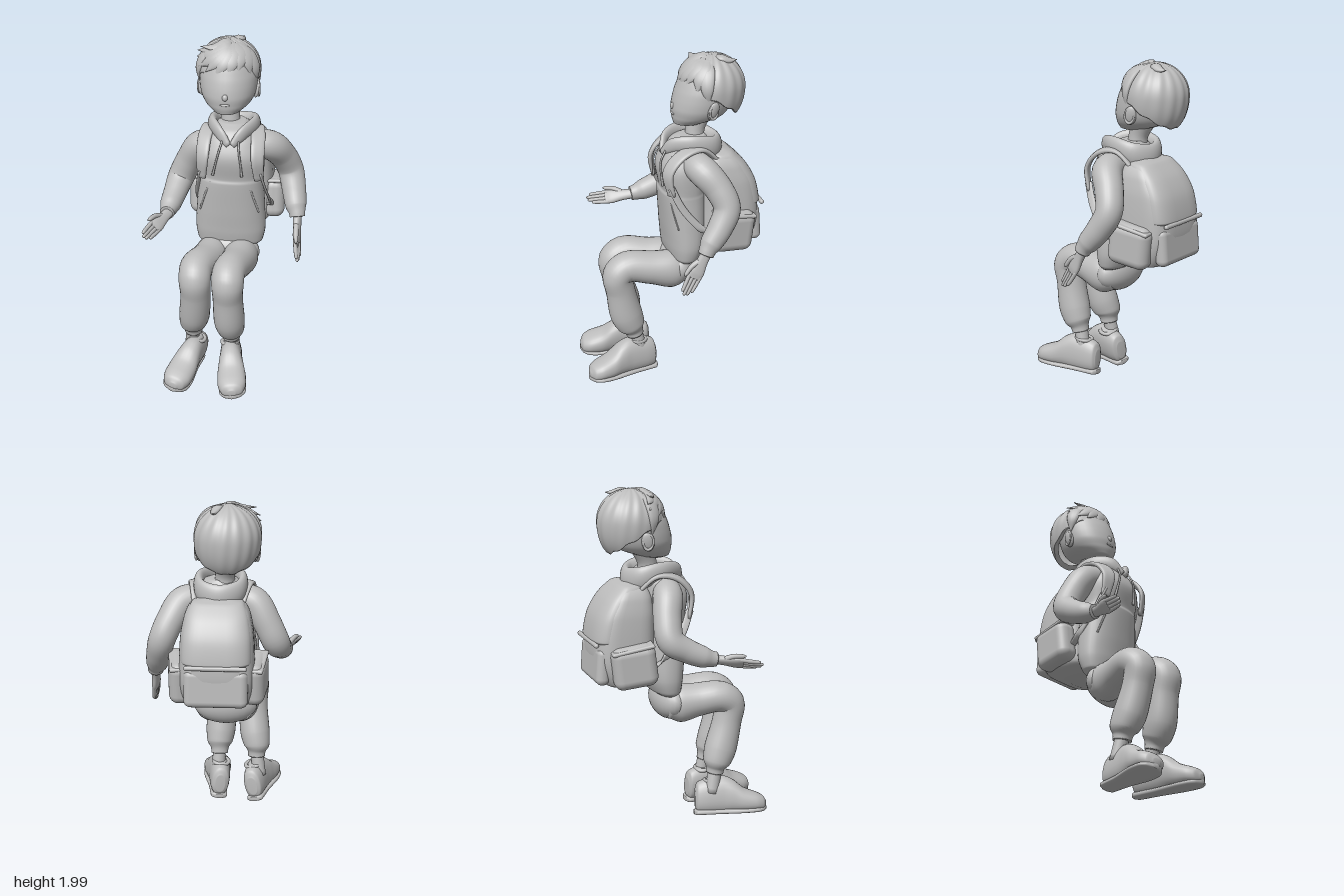
import * as THREE from 'three';
import { RoundedBoxGeometry } from 'three/addons/geometries/RoundedBoxGeometry.js';

const grey = new THREE.MeshStandardMaterial({ color: 0xbcbcbc });
grey.name = 'clay grey';
const shellGrey = grey.clone();
shellGrey.side = THREE.DoubleSide;
const V = (x, y, z) => new THREE.Vector3(x, y, z);
const X = V(1, 0, 0), Y = V(0, 1, 0), Z = V(0, 0, 1);

// Smooth skin through rings [x, y, z, width radius, depth radius]; power > 2 squares the ring,
// axis keeps all rings parallel instead of turning with the path
function loft(rings, { ref = X, axis, power = 2, sides = 28, steps = 6 } = {}) {
  const path = new THREE.CatmullRomCurve3(rings.map(r => V(r[0], r[1], r[2])));
  const size = new THREE.CatmullRomCurve3(rings.map(r => V(r[3], r[4] ?? r[3], 0)), false, 'catmullrom', 0.4);
  const n = (rings.length - 1) * steps, pos = [], idx = [];
  const bend = v => Math.sign(v) * Math.abs(v) ** (2 / power);
  for (let i = 0; i <= n; i++) {
    const c = path.getPoint(i / n), t = axis ?? path.getTangent(i / n), s = size.getPoint(i / n);
    const side = ref.clone().addScaledVector(t, -ref.dot(t)).normalize();
    const up = t.clone().cross(side);
    for (let j = 0; j < sides; j++) {
      const a = j / sides * Math.PI * 2;
      const p = c.clone().addScaledVector(side, Math.max(s.x, 0.001) * bend(Math.cos(a)))
        .addScaledVector(up, Math.max(s.y, 0.001) * bend(Math.sin(a)));
      pos.push(p.x, p.y, p.z);
      const k = (j + 1) % sides, b = i * sides;
      if (i < n) idx.push(b + j, b + k, b + sides + j, b + k, b + sides + k, b + sides + j);
    }
  }
  const first = rings[0], last = rings.at(-1), e = pos.length / 3;
  pos.push(first[0], first[1], first[2], last[0], last[1], last[2]);
  for (let j = 0; j < sides; j++) {
    const k = (j + 1) % sides;
    idx.push(e, k, j, e + 1, n * sides + j, n * sides + k);
  }
  const g = new THREE.BufferGeometry();
  g.setAttribute('position', new THREE.Float32BufferAttribute(pos, 3));
  g.setIndex(idx);
  g.computeVertexNormals();
  return g;
}

function add(parent, name, geo, p = [0, 0, 0], r = [0, 0, 0], mat = grey) {
  const m = new THREE.Mesh(geo, mat);
  m.name = name;
  m.position.set(...p);
  m.rotation.set(...r);
  parent.add(m);
  return m;
}
const ball = (parent, name, p, s, r) => add(parent, name, new THREE.SphereGeometry(1, 28, 20), p, r).scale.set(...s);

// Point on the hair dome: azimuth a from the front, polar angle p from the top; fuller below the middle
function hairPoint(a, p, k = 1) {
  const low = p > Math.PI / 2, out = k * Math.sin(p) ** (low ? 0.7 : 1);
  return V(-0.025 + 0.188 * out * Math.sin(a), 1.795 + (low ? 0.22 : 0.188) * k * Math.cos(p),
    -0.27 + 0.194 * out * Math.cos(a));
}

function hair(g) {
  // Dome whose lower edge falls from the fringe to the nape, with combed ripples
  const dome = new THREE.PlaneGeometry(1, 1, 112, 30), at = dome.attributes.position;
  for (let i = 0; i < at.count; i++) {
    const a = (at.getX(i) + 0.5) * Math.PI * 2, v = 0.5 - at.getY(i);
    const end = 1.9 - 0.54 * Math.cos(a) + 0.05 * Math.cos(2 * a) + 0.03 * Math.cos(11 * a);
    const ripple = 1 + 0.014 * Math.sin(16 * a + 4 * v) * Math.sin(Math.PI * v);
    const q = hairPoint(a, end * Math.min(v * 1.05, 1), v > 0.98 ? 0.85 : ripple);
    at.setXYZ(i, q.x, q.y, q.z);
  }
  dome.computeVertexNormals();
  add(g, 'hairDome', dome, undefined, undefined, shellGrey);

  // Swept locks: [root azimuth, tip azimuth, root polar, tip polar, width, tip lift]
  const locks = [
    [0.5, -1.3, 0.25, 1.15, 0.05, 1.1], [0.4, -1.0, 0.3, 1.35, 0.05, 1.06], [0.3, -0.65, 0.3, 1.42, 0.05, 1.05],
    [0.35, -0.3, 0.3, 1.52, 0.05, 1.04], [0.5, 0.05, 0.35, 1.46, 0.05, 1.03], [0.7, 0.4, 0.4, 1.34, 0.05, 1.03],
    [0.9, 0.8, 0.4, 1.5, 0.05, 1.02], [1.0, 1.15, 0.4, 1.85, 0.045, 0.99], [-1.0, -1.2, 0.5, 1.85, 0.045, 0.99],
    [0.2, -1.1, 0.1, 0.85, 0.04, 1.24], [0.1, -1.35, 0.2, 1.0, 0.04, 1.16], [2.0, 2.6, 0.2, 0.72, 0.03, 1.14]];
  for (const [a0, a1, p0, p1, w, lift] of locks) {
    const pts = [0, 0.33, 0.67, 1].map(t => hairPoint(a0 + (a1 - a0) * t, p0 + (p1 - p0) * t, t < 1 ? 0.98 + 0.03 * t : lift));
    const ref = pts[3].clone().sub(pts[0]).cross(pts[2].clone().sub(V(-0.025, 1.79, -0.27))).normalize();
    const radius = [[0.02, 0.006], [w, 0.016], [w * 0.8, 0.016], [0.002, 0.002]];
    add(g, 'hairLock', loft(pts.map((q, i) => [q.x, q.y, q.z, ...radius[i]]), { ref, sides: 12 }));
  }
}

function head(g) {
  add(g, 'neck', loft([[0, 1.45, -0.16, 0.065], [-0.005, 1.55, -0.165, 0.056], [-0.015, 1.66, -0.2, 0.075]]));
  add(g, 'face', loft([[-0.02, 1.578, -0.11, 0.03, 0.035], [-0.02, 1.593, -0.128, 0.078, 0.088],
    [-0.02, 1.64, -0.185, 0.138, 0.155], [-0.02, 1.69, -0.202, 0.162, 0.174], [-0.02, 1.75, -0.218, 0.17, 0.178],
    [-0.02, 1.81, -0.24, 0.17, 0.18], [-0.02, 1.9, -0.25, 0.135, 0.145], [-0.02, 1.95, -0.25, 0.03, 0.03]],
    { axis: Y, sides: 40 }));
  ball(g, 'nose', [-0.02, 1.7, -0.034], [0.017, 0.02, 0.015], [-0.3, 0, 0]);
  ball(g, 'lips', [-0.02, 1.655, -0.03], [0.03, 0.007, 0.007], [0, 0, 0]);
  for (const s of [-1, 1]) {
    const ear = [-0.02 + s * 0.163, 1.698, -0.222];
    ball(g, 'ear', ear, [0.018, 0.056, 0.036], [-0.2, s * 0.3, s * -0.12]);
    const rim = add(g, 'earRim', new THREE.TorusGeometry(0.028, 0.006, 10, 28), [ear[0] + s * 0.01, ear[1], ear[2]],
      [0, Math.PI / 2 + s * 0.3, s * -0.12]);
    rim.scale.set(1, 1.5, 1);
  }
  hair(g);
}

function hoodie(g) {
  add(g, 'hoodieBody', loft([[0.01, 0.765, -0.065, 0.17, 0.06], [0.01, 0.79, -0.07, 0.195, 0.09],
    [0.01, 0.87, -0.08, 0.21, 0.113], [0.01, 1.0, -0.08, 0.205, 0.125], [0.015, 1.19, -0.073, 0.19, 0.132],
    [0.02, 1.22, -0.073, 0.184, 0.126], [0.02, 1.35, -0.07, 0.19, 0.142], [0.02, 1.44, -0.093, 0.165, 0.132],
    [0.02, 1.5, -0.12, 0.12, 0.11], [0.015, 1.53, -0.14, 0.07, 0.07]], { axis: Y, power: 2.3, sides: 40 }));
  // Hood folds down around the neck and meets in a V at the throat
  const half = s => [[0.02 + s * 0.01, 1.44, 0.045, 0.02, 0.016], [0.02 + s * 0.07, 1.5, 0.0, 0.042, 0.022],
    [0.02 + s * 0.122, 1.51, -0.11, 0.052, 0.028], [0.02 + s * 0.105, 1.475, -0.23, 0.065, 0.032]];
  add(g, 'hood', loft([...half(-1), [0.02, 1.45, -0.28, 0.075, 0.035], ...half(1).reverse()], { ref: Y }));
  for (const s of [-1, 1]) {
    add(g, 'drawstring', loft([[0.02 + s * 0.045, 1.47, 0.035, 0.006], [0.015 + s * 0.06, 1.4, 0.071, 0.006],
      [0.01 + s * 0.075, 1.32, 0.071, 0.006], [0.005 + s * 0.085, 1.255, 0.064, 0.008]], { sides: 8 }));
    // Slanted opening of the belly pocket
    add(g, 'pocketEdge', loft([[0.015 + s * 0.11, 1.2, 0.035, 0.006, 0.005], [0.01 + s * 0.145, 1.1, 0.02, 0.006, 0.005],
      [0.01 + s * 0.175, 1.0, -0.003, 0.006, 0.005]], { sides: 8 }));
  }
  add(g, 'leftSleeve', loft([[0.12, 1.4, -0.1, 0.08], [0.235, 1.38, -0.13, 0.088], [0.305, 1.29, -0.2, 0.082],
    [0.352, 1.185, -0.235, 0.078], [0.378, 1.08, -0.185, 0.073], [0.396, 1.0, -0.125, 0.064], [0.406, 0.965, -0.1, 0.05],
    [0.41, 0.94, -0.088, 0.046]], { ref: V(1, 0.45, 0.4) }));
  add(g, 'rightSleeve', loft([[-0.1, 1.4, -0.08, 0.08], [-0.175, 1.37, -0.1, 0.087], [-0.245, 1.26, -0.13, 0.082],
    [-0.298, 1.145, -0.128, 0.08], [-0.32, 1.085, -0.04, 0.07], [-0.335, 1.045, 0.05, 0.062], [-0.34, 1.03, 0.1, 0.048],
    [-0.342, 1.025, 0.13, 0.043]], { ref: V(1, -0.4, 0) }));
}

// Flat relaxed hand: fingers along dir, thumb towards thumb
function hand(g, name, wrist, dir, thumb) {
  const h = new THREE.Group();
  h.name = name;
  const y = dir.normalize(), x = thumb.addScaledVector(y, -thumb.dot(y)).normalize();
  h.quaternion.setFromRotationMatrix(new THREE.Matrix4().makeBasis(x, y, x.clone().cross(y)));
  h.position.copy(wrist);
  add(h, 'palm', loft([[0, -0.03, 0, 0.03, 0.026], [0, 0.04, 0, 0.033, 0.022], [0, 0.11, 0, 0.044, 0.019],
    [0, 0.15, 0, 0.041, 0.012]], { power: 2.4 }));
  [0.1, 0.118, 0.11, 0.085].forEach((len, i) => {
    const fx = 0.031 - i * 0.0207, sp = fx * -0.08;
    add(h, 'finger', loft([[fx, 0.12, 0, 0.0125], [fx + sp, 0.14 + len * 0.5, 0.003, 0.012],
      [fx + sp * 2, 0.14 + len, 0.008, 0.0095], [fx + sp * 2, 0.147 + len, 0.009, 0.003]], { sides: 10, steps: 4 }));
  });
  add(h, 'thumb', loft([[0.015, 0.04, 0, 0.018], [0.044, 0.09, 0.01, 0.015], [0.053, 0.14, 0.014, 0.012],
    [0.055, 0.157, 0.015, 0.004]], { sides: 10, steps: 4 }));
  g.add(h);
}

function legs(g) {
  ball(g, 'pantsSeat', [0, 0.715, -0.038], [0.19, 0.12, 0.1], [0, 0, 0]);
  // Each leg: hip x, knee x, ankle x, depth offset, shoe x, shoe yaw, shoe roll
  for (const [side, hip, knee, ankle, dz, shoeX, yaw, roll] of [
    ['left', 0.085, 0.042, 0.053, 0, 0.062, 0.11, 0.1], ['right', -0.09, -0.155, -0.182, -0.03, -0.2, -0.23, -0.2]]) {
    const shin = (knee + ankle) / 2;
    add(g, side + 'PantsLeg', loft([[hip, 0.69, -0.085, 0.07], [hip, 0.7, 0, 0.102, 0.115],
      [hip * 0.6 + knee * 0.4, 0.72, 0.13 + dz * 0.5, 0.1, 0.1], [knee, 0.735, 0.27 + dz, 0.097, 0.092],
      [knee, 0.69, 0.33 + dz, 0.095, 0.09], [knee, 0.58, 0.315 + dz, 0.089, 0.088], [shin, 0.42, 0.285 + dz * 1.5, 0.092, 0.098],
      [ankle, 0.34, 0.255 + dz * 1.5, 0.08, 0.085], [ankle, 0.3, 0.24 + dz * 1.3, 0.056, 0.058],
      [ankle, 0.27, 0.232 + dz * 1.2, 0.053, 0.053]]));
    add(g, side + 'Ankle', loft([[ankle, 0.3, 0.23 + dz, 0.04], [shoeX, 0.15, 0.2 + dz, 0.042]], { sides: 20 }));
    const shoe = new THREE.Group();
    shoe.name = side + 'Shoe';
    shoe.position.set(shoeX, 0.012, 0.2 + dz);
    shoe.rotation.set(0, yaw, roll);
    add(shoe, 'upper', loft([[0, 0.1, -0.098, 0.03, 0.055], [0, 0.106, -0.082, 0.052, 0.09], [0, 0.112, -0.03, 0.062, 0.104],
      [0, 0.118, 0.07, 0.067, 0.112], [0, 0.108, 0.13, 0.075, 0.1], [0, 0.08, 0.2, 0.085, 0.073],
      [0, 0.066, 0.27, 0.083, 0.057], [0, 0.056, 0.315, 0.062, 0.044], [0, 0.05, 0.336, 0.02, 0.018]],
      { axis: Z, power: 2.3 }));
    add(shoe, 'sole', loft([[0, 0.017, -0.105, 0.025, 0.014], [0, 0.017, -0.088, 0.05, 0.017], [0, 0.017, 0.04, 0.058, 0.017],
      [0, 0.018, 0.2, 0.081, 0.017], [0, 0.02, 0.28, 0.078, 0.017], [0, 0.022, 0.318, 0.055, 0.016],
      [0, 0.024, 0.338, 0.015, 0.012]], { axis: Z, power: 3 }));
    add(shoe, 'collar', new THREE.TorusGeometry(0.048, 0.012, 10, 28), [0, 0.21, 0.01], [Math.PI / 2 - 0.1, 0, 0]);
    g.add(shoe);
  }
}

function backpack(g) {
  const p = new THREE.Group();
  p.name = 'backpack';
  add(p, 'bag', loft([[0.03, 0.832, -0.29, 0.1, 0.08], [0.03, 0.86, -0.295, 0.195, 0.155], [0.03, 0.98, -0.325, 0.215, 0.18],
    [0.03, 1.12, -0.33, 0.213, 0.178], [0.03, 1.26, -0.315, 0.205, 0.165], [0.03, 1.36, -0.29, 0.185, 0.13],
    [0.03, 1.42, -0.275, 0.15, 0.09], [0.03, 1.44, -0.27, 0.07, 0.04]], { axis: Y, power: 3.6, sides: 48 }));
  // Lid overlaps the bag down to a lip above the front pocket
  add(p, 'lid', loft([[0.03, 1.115, -0.4, 0.19, 0.115], [0.03, 1.13, -0.4, 0.2, 0.12], [0.03, 1.25, -0.38, 0.196, 0.114],
    [0.03, 1.35, -0.335, 0.18, 0.104], [0.03, 1.43, -0.285, 0.145, 0.072], [0.03, 1.452, -0.27, 0.07, 0.03]],
    { axis: Y, power: 3.2, sides: 40 }));
  add(p, 'lidLip', new RoundedBoxGeometry(0.35, 0.026, 0.026, 3, 0.012), [0.03, 1.112, -0.517]);
  add(p, 'frontPocket', new RoundedBoxGeometry(0.36, 0.22, 0.08, 4, 0.038), [0.03, 0.98, -0.474], [0.08, 0, 0]);
  add(p, 'carryLoop', new THREE.TorusGeometry(0.035, 0.009, 8, 20, Math.PI), [0.03, 1.43, -0.25]);
  for (const s of [-1, 1]) {
    add(p, 'sidePocket', new RoundedBoxGeometry(0.13, 0.25, 0.26, 5, 0.055), [0.03 + s * 0.216, 0.985, -0.31], [-0.12, s * 0.12, 0]);
    add(p, 'sidePocketLip', new RoundedBoxGeometry(0.12, 0.022, 0.25, 3, 0.01), [0.03 + s * 0.216, 1.09, -0.322], [-0.18, s * 0.12, 0]);
    // Strap runs over the shoulder, down the chest and back under the arm
    add(p, 'shoulderStrap', loft([[0.03 + s * 0.11, 1.38, -0.26, 0.035, 0.012], [0.02 + s * 0.14, 1.485, -0.14, 0.04, 0.014],
      [0.02 + s * 0.155, 1.465, -0.02, 0.042, 0.014], [0.02 + s * 0.16, 1.37, 0.06, 0.04, 0.014],
      [0.02 + s * 0.168, 1.23, 0.042, 0.028, 0.012]], { ref: V(1, 0, s * -0.5), power: 3 }));
    add(p, 'lowerStrap', loft([[0.02 + s * 0.172, 1.28, 0.045, 0.022, 0.008], [0.02 + s * 0.2, 1.15, -0.015, 0.022, 0.008],
      [0.025 + s * 0.215, 1.02, -0.12, 0.022, 0.008], [0.03 + s * 0.2, 0.94, -0.22, 0.022, 0.008]],
      { ref: V(0, 0.6, 0.8), power: 3, sides: 14 }));
  }
  g.add(p);
}

export function createModel() {
  const g = new THREE.Group();
  g.name = 'seatedChild';
  head(g);
  hoodie(g);
  hand(g, 'leftHand', V(0.41, 0.935, -0.085), V(0.01, -0.23, 0.125), V(-0.3, 0.45, 0.85));
  hand(g, 'rightHand', V(-0.342, 1.022, 0.14), V(-0.1, -0.045, 0.255), V(-0.7, 0.7, 0));
  legs(g);
  backpack(g);
  return g;
}
